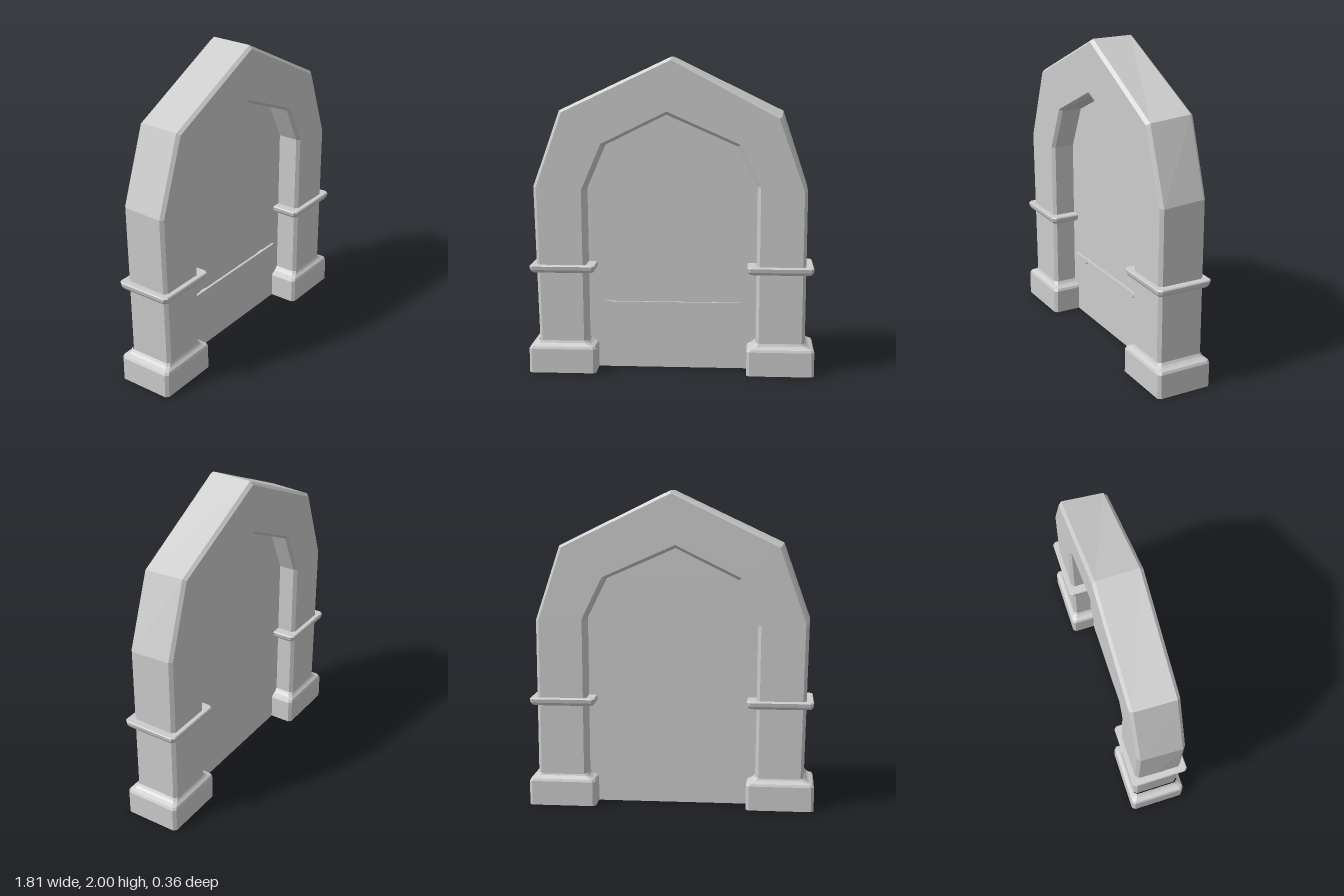
import * as THREE from 'three';

const V = (x, y, z) => new THREE.Vector3(x, y, z);
const material = new THREE.MeshStandardMaterial({ color: 0xcccccc, flatShading: true, side: THREE.DoubleSide });

// Cuts every corner of a closed ring by distance c
function chamfer(corners, c) {
  const n = corners.length;
  return corners.flatMap((p, i) => [corners[(i + n - 1) % n], corners[(i + 1) % n]].map((q) =>
    p.clone().add(q.clone().sub(p).setLength(c))));
}

// Skins a series of equal closed rings, with optional end caps
function loft(rings, capStart, capEnd) {
  const pos = [];
  const tri = (...pts) => pts.forEach((p) => pos.push(p.x, p.y, p.z));
  const n = rings[0].length;
  for (let r = 0; r < rings.length - 1; r++) {
    const a = rings[r], b = rings[r + 1];
    for (let i = 0; i < n; i++) {
      const j = (i + 1) % n;
      tri(a[i], a[j], b[j]);
      tri(a[i], b[j], b[i]);
    }
  }
  const first = rings[0], last = rings[rings.length - 1];
  for (let i = 1; i < n - 1; i++) {
    if (capStart) tri(first[0], first[i + 1], first[i]);
    if (capEnd) tri(last[0], last[i], last[i + 1]);
  }
  const g = new THREE.BufferGeometry();
  g.setAttribute('position', new THREE.Float32BufferAttribute(pos, 3));
  g.computeVertexNormals();
  return g;
}

// Rectangular collar around a leg; profile rows are [inset x, inset z, y]
function collar(profile, x0, x1, z, capStart, capEnd) {
  return loft(profile.map(([ix, iz, y]) => chamfer([
    V(x0 + ix, y, z - iz), V(x1 - ix, y, z - iz), V(x1 - ix, y, -z + iz), V(x0 + ix, y, -z + iz),
  ], 0.018)), capStart, capEnd);
}

export function createModel() {
  const model = new THREE.Group();
  const add = (name, geometry, x = 0, y = 0, z = 0) => {
    const mesh = new THREE.Mesh(geometry, material);
    mesh.name = name;
    mesh.position.set(x, y, z);
    model.add(mesh);
    return mesh;
  };

  // Arch: slightly irregular faceted frame with chamfered edges
  const outerFront = [[-0.84, 0.19], [-0.87, 1.19], [-0.7, 1.67], [0, 2], [0.685, 1.635], [0.85, 1.17], [0.845, 0.19]];
  const outerBack = [[-0.84, 0.19], [-0.86, 1.19], [-0.69, 1.665], [0, 2], [0.7, 1.66], [0.855, 1.19], [0.85, 0.19]];
  const inner = [[-0.535, 0.19], [-0.545, 1.17], [-0.425, 1.45], [-0.03, 1.645], [0.415, 1.45], [0.54, 1.2], [0.535, 0.19]];
  add('arch', loft(inner.map(([x, y], i) => chamfer([
    V(...outerFront[i], 0.15), V(x, y, 0.15), V(x, y, -0.152), V(...outerBack[i], -0.152),
  ], 0.02)), true, true));

  // Door panel filling the opening, tucked into the frame
  const outline = inner.map(([x, y]) => new THREE.Vector2(x * 1.04, y < 0.2 ? 0 : y + 0.02));
  add('doorPanel', new THREE.ExtrudeGeometry(new THREE.Shape(outline), { depth: 0.03, bevelEnabled: false }), 0, 0, -0.03);

  // Plinths (hollow underneath) and moulded bands on both legs
  const plinth = [[0, 0, 0], [0, 0, 0.155], [0.008, 0.006, 0.17], [0.032, 0.018, 0.18], [0.046, 0.026, 0.19], [0.056, 0.032, 0.205]];
  const band = [[0.035, 0.028, 0.645], [0.014, 0.014, 0.649], [0.004, 0.004, 0.665], [0, 0, 0.688], [0.005, 0.005, 0.695]];
  for (const [side, s] of [['left', 1], ['right', -1]]) {
    const span = (a, b) => (s > 0 ? [a, b] : [-b, -a]);
    add(side + 'Plinth', collar(plinth, ...span(0.478, 0.905), 0.182, false, false));
    add(side + 'Band', collar(band, ...span(0.48, 0.897), 0.182, true, true));
  }

  // Push bar on the front of the panel, with two brackets
  add('pushBar', new THREE.BoxGeometry(0.865, 0.02, 0.016), 0, 0.43, 0.032);
  for (const s of [-1, 1]) {
    const shape = new THREE.Shape([[-0.025, 0.422], [-0.016, 0.402], [0.016, 0.402], [0.025, 0.422]].map((p) => new THREE.Vector2(...p)));
    add('barBracket', new THREE.ExtrudeGeometry(shape, { depth: 0.036, bevelEnabled: false }), s * 0.315, 0, 0);
  }
  return model;
}
